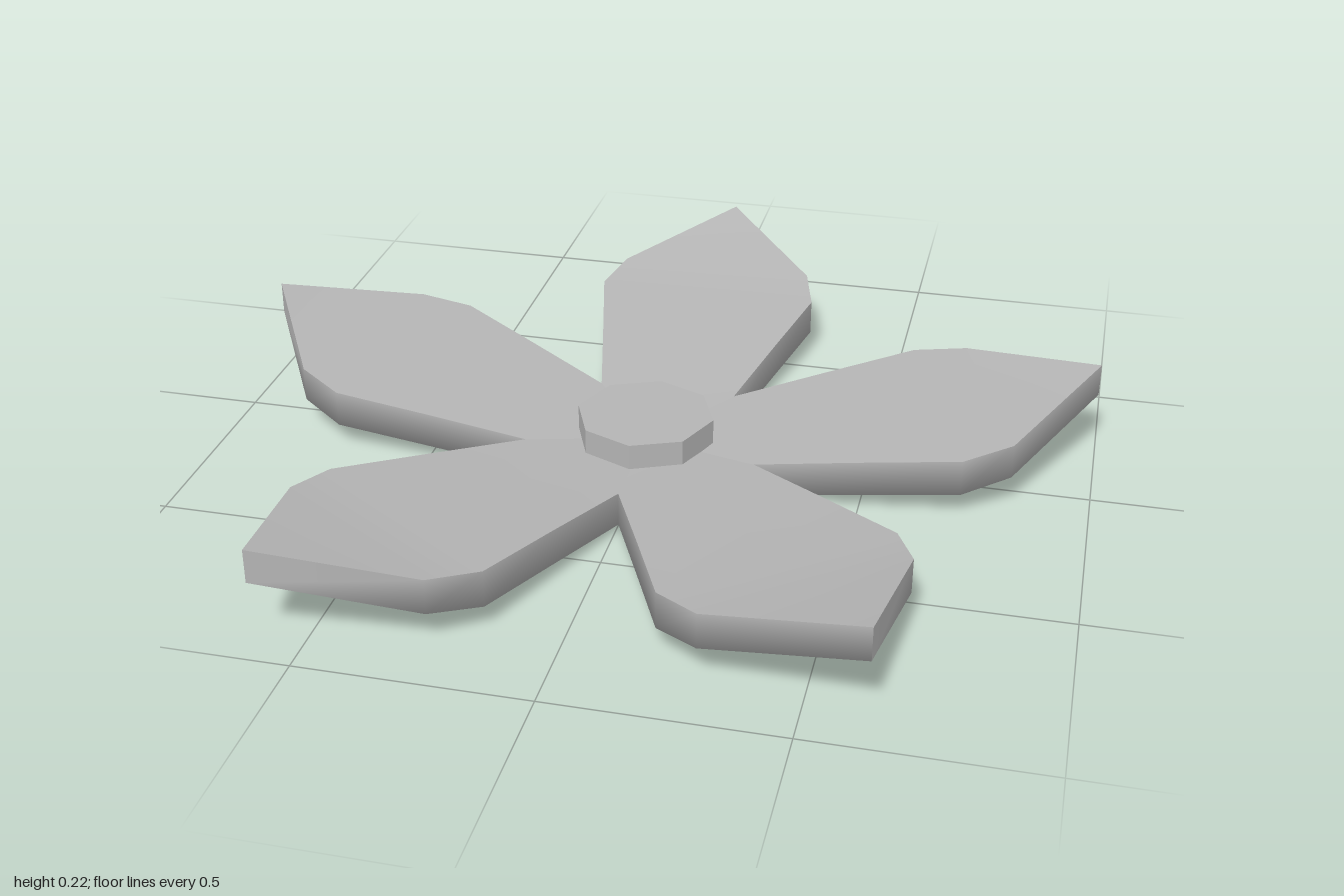
import * as THREE from 'three';

// Petal cross-sections: distance from centre, half width, underside height, top height
const ROWS = [
  [0, 0.02, 0.0, 0.08],
  [0.21, 0.158, 0.012, 0.09],
  [0.45, 0.216, 0.035, 0.117],
  [0.67, 0.27, 0.056, 0.14],
  [0.79, 0.238, 0.076, 0.156],
  [1.046, 0, 0.145, 0.221],
];
const PETAL_ANGLES = [90, 163, 235, 307, 18];

// Petal pointing along -z: the top has its own vertices (crisp rim),
// while the sides share vertices with the underside (soft lower edge).
function petalGeometry() {
  const pos = [], index = [];
  const quad = (a, b, c, d) => index.push(a, b, c, a, c, d);
  for (const [r, w, low, high] of ROWS) {
    for (const y of [high, low]) pos.push(-w, y, -r, 0, y, -r, w, y, -r);
    pos.push(-w, high, -r, w, high, -r); // upper rim of the sides
  }
  for (let i = 0; i < ROWS.length - 1; i++) {
    const n = i * 8, f = n + 8;
    for (let c = 0; c < 2; c++) {
      quad(n + c, n + c + 1, f + c + 1, f + c); // top
      quad(n + 3 + c, f + 3 + c, f + 4 + c, n + 4 + c); // underside
    }
    quad(n + 5, f + 5, f + 7, n + 7); // right side
    quad(f + 3, n + 3, n + 6, f + 6); // left side
  }
  const g = new THREE.BufferGeometry();
  g.setAttribute('position', new THREE.Float32BufferAttribute(pos, 3));
  g.setIndex(index);
  g.computeVertexNormals();
  return g;
}

export function createModel() {
  const flower = new THREE.Group();
  flower.name = 'flower';
  const grey = new THREE.MeshStandardMaterial({ color: 0xb4b4b4 });
  grey.name = 'grey';

  // Five petals around the centre
  const petal = petalGeometry();
  PETAL_ANGLES.forEach((angle, i) => {
    const mesh = new THREE.Mesh(petal, grey);
    mesh.name = `petal${i + 1}`;
    mesh.rotation.y = THREE.MathUtils.degToRad(angle - 90);
    flower.add(mesh);
  });

  // Octagonal centre disc, faceted
  const discGeometry = new THREE.CylinderGeometry(0.157, 0.157, 0.085, 8).toNonIndexed();
  discGeometry.computeVertexNormals();
  const disc = new THREE.Mesh(discGeometry, grey);
  disc.name = 'centreDisc';
  disc.position.y = 0.1025;
  flower.add(disc);

  flower.position.z = 0.09;
  const model = new THREE.Group();
  model.add(flower);
  return model;
}
